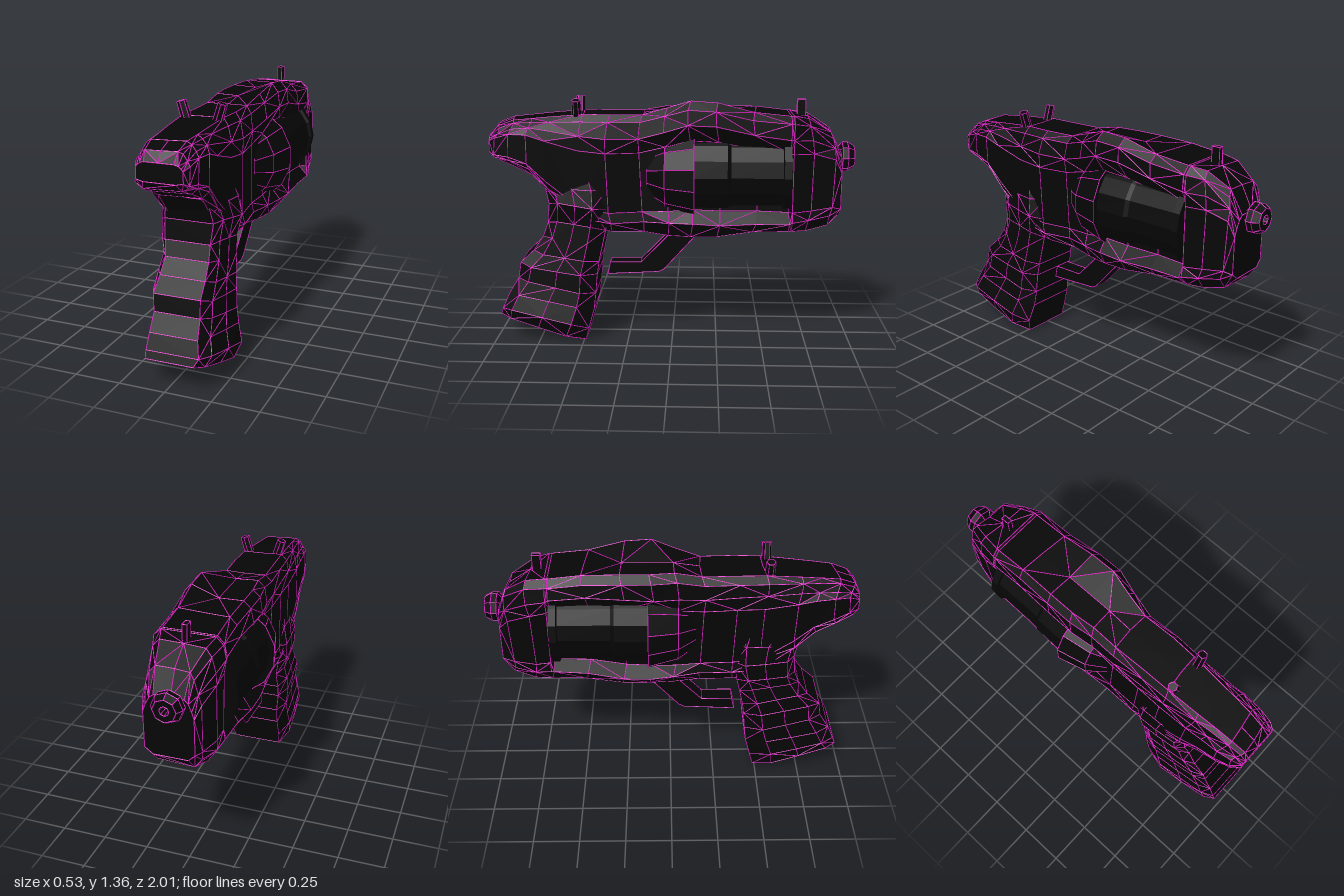
import * as THREE from 'three';
import { mergeGeometries } from 'three/addons/utils/BufferGeometryUtils.js';

const shell = new THREE.MeshStandardMaterial({ color: 0x060606, flatShading: true, side: THREE.DoubleSide });
const glow = new THREE.MeshStandardMaterial({ color: 0xe024c8, flatShading: true });

// Skin a list of closed rings and cap both ends; diagonals alternate for a chiselled look
function loft(rings) {
  const n = rings[0].length, pos = [], idx = [];
  rings.forEach(r => r.forEach(p => pos.push(p.x, p.y, p.z)));
  for (let i = 0; i < rings.length - 1; i++) {
    for (let j = 0; j < n; j++) {
      const k = (j + 1) % n, a = i * n + j, b = i * n + k, c = a + n, d = b + n;
      if ((i + j) % 2) idx.push(a, b, d, a, d, c);
      else idx.push(a, b, c, b, d, c);
    }
  }
  [0, rings.length - 1].forEach(i => {
    const centre = rings[i].reduce((s, p) => s.add(p), new THREE.Vector3()).divideScalar(n);
    const m = pos.length / 3;
    pos.push(centre.x, centre.y, centre.z);
    for (let j = 0; j < n; j++) {
      const a = i * n + j, b = i * n + (j + 1) % n;
      if (i === 0) idx.push(m, b, a);
      else idx.push(m, a, b);
    }
  });
  const g = new THREE.BufferGeometry();
  g.setAttribute('position', new THREE.Float32BufferAttribute(pos, 3));
  g.setIndex(idx);
  const flat = g.toNonIndexed();
  flat.computeVertexNormals();
  return flat;
}

// Thin coloured rods along the facet edges
function seams(geometry, angle) {
  const p = new THREE.EdgesGeometry(geometry, angle).attributes.position, rods = [];
  const up = new THREE.Vector3(0, 1, 0);
  for (let i = 0; i < p.count; i += 2) {
    const a = new THREE.Vector3().fromBufferAttribute(p, i);
    const b = new THREE.Vector3().fromBufferAttribute(p, i + 1);
    const dir = b.clone().sub(a), len = dir.length();
    if (len < 0.005) continue;
    const q = new THREE.Quaternion().setFromUnitVectors(up, dir.normalize());
    const rod = new THREE.CylinderGeometry(0.0025, 0.0025, len, 4, 1, true);
    rods.push(rod.applyQuaternion(q).translate((a.x + b.x) / 2, (a.y + b.y) / 2, (a.z + b.z) / 2));
  }
  return mergeGeometries(rods);
}

function part(name, geometry, seamAngle) {
  const g = new THREE.Group();
  g.name = name;
  const mesh = new THREE.Mesh(geometry, shell);
  mesh.name = name + 'Shell';
  g.add(mesh);
  if (seamAngle !== undefined) {
    const lines = new THREE.Mesh(seams(geometry, seamAngle), glow);
    lines.name = name + 'Seams';
    g.add(lines);
  }
  return g;
}

// Lathe along z from [radius, z] pairs, rear to front
function turned(points, sides, y) {
  const g = new THREE.LatheGeometry(points.map(([r, z]) => new THREE.Vector2(r, -z)), sides);
  return g.rotateX(-Math.PI / 2).translate(0, y, 0);
}

const wobble = (i, j) => Math.sin(i * 12.9 + j * 7.3);

function bodyGeometry() {
  // z, top, bottom, half width on -x, half width on +x, waist fraction, shoulder fraction
  const stations = [
    [-0.92, 1.07, 0.74, 0.115, 0.145, 1, 0.8], [-0.87, 1.19, 0.675, 0.13, 0.155, 1, 0.85],
    [-0.75, 1.265, 0.645, 0.165, 0.175, 0.97, 0.95], [-0.655, 1.28, 0.645, 0.175, 0.2, 0.95, 1],
    [-0.64, 1.28, 0.645, 0.175, 0.2, 0.76, 1], [-0.45, 1.3, 0.64, 0.175, 0.2, 0.74, 1],
    [-0.25, 1.35, 0.612, 0.18, 0.205, 0.73, 1], [-0.1, 1.36, 0.61, 0.18, 0.205, 0.75, 1],
    [0.03, 1.32, 0.612, 0.17, 0.18, 0.86, 0.95], [0.17, 1.28, 0.628, 0.165, 0.15, 0.95, 0.95],
    [0.35, 1.28, 0.63, 0.165, 0.17, 0.95, 0.9], [0.5, 1.28, 0.66, 0.165, 0.165, 0.97, 0.88],
    [0.68, 1.265, 0.83, 0.16, 0.16, 1, 0.82], [0.78, 1.255, 0.945, 0.155, 0.16, 1, 0.78],
    [0.88, 1.245, 0.995, 0.15, 0.15, 1, 0.76], [0.96, 1.215, 1.03, 0.135, 0.14, 1, 0.76],
    [1.0, 1.165, 1.07, 0.115, 0.125, 1, 0.85],
  ];
  return loft(stations.map(([z, top, bot, wl, wr, waist, shoulder], i) => {
    // right half of the section: width fraction, height fraction
    const half = [[0.7, 0], [1, 0.1], [waist, 0.19], [waist, 0.7],
      [(1 + shoulder) / 2, 0.82], [0.95 * shoulder, 0.94], [0.75 * shoulder, 1]];
    const section = [...half, [0, 1], ...half.slice().reverse().map(([u, v]) => [-u, v])];
    const end = i === 0 || i === stations.length - 1;
    return section.map(([u, v], j) => {
      const side = v > 0 && v < 0.9 && !end;
      // the hump leans: full height on +x, cut lower on the middle and -x
      const peak = u > 0 ? top : Math.min(top, u < 0 ? 1.305 : 1.3);
      return new THREE.Vector3(
        u * (u > 0 ? wr : wl) + (side ? 0.005 * wobble(i, j) : 0),
        bot + v * (peak - bot) + (side ? 0.012 * wobble(j, i) : 0),
        z + (end || (z < -0.6 && z > -0.7) ? 0 : 0.015 * wobble(i + 3, j)));
    });
  }));
}

function gripGeometry() {
  // front z, front y, back z, back y, half width on -x, half width on +x
  const stations = [
    [0.49, 0.005, 0.97, 0.15, 0.165, 0.205], [0.47, 0.08, 0.955, 0.19, 0.168, 0.237],
    [0.44, 0.19, 0.92, 0.27, 0.162, 0.21], [0.43, 0.28, 0.865, 0.36, 0.16, 0.195],
    [0.42, 0.39, 0.85, 0.45, 0.173, 0.19], [0.41, 0.46, 0.775, 0.52, 0.172, 0.18],
    [0.39, 0.55, 0.72, 0.6, 0.163, 0.175], [0.37, 0.64, 0.69, 0.68, 0.183, 0.17],
    [0.35, 0.76, 0.68, 0.79, 0.185, 0.19], [0.35, 0.88, 0.7, 0.88, 0.165, 0.17],
    [0.36, 0.97, 0.77, 0.94, 0.15, 0.15],
  ];
  // around the section: x fraction, fraction from front to back
  const half = [[0.7, 1], [0.88, 0.88], [0.96, 0.55], [1, 0.22], [0.78, 0]];
  const section = [...half, ...half.slice().reverse().map(([u, t]) => [-u, t])];
  return loft(stations.map(([fz, fy, bz, by, wl, wr], i) => section.map(([u, t], j) => {
    const side = t > 0 && t < 1 && i > 0 ? 1 : 0;
    return new THREE.Vector3(
      u * (u > 0 ? wr : wl) + side * 0.004 * wobble(i, j),
      fy + t * (by - fy) + side * 0.015 * wobble(j, i),
      fz + t * (bz - fz) + side * 0.015 * wobble(i + 5, j));
  })));
}

function triggerGeometry() {
  const outline = [[0.37, 0.36], [0.08, 0.375], [0.05, 0.39], [-0.13, 0.59],
    [-0.12, 0.62], [0, 0.615], [0.03, 0.585], [0.18, 0.43], [0.355, 0.43]];
  const shape = new THREE.Shape(outline.map(([z, y]) => new THREE.Vector2(-z, y)));
  const g = new THREE.ExtrudeGeometry(shape, { depth: 0.09, bevelEnabled: false });
  return g.translate(0, 0, -0.045).rotateY(Math.PI / 2);
}

export function createModel() {
  const model = new THREE.Group();
  model.name = 'pistol';

  model.add(part('body', bodyGeometry(), 1));
  model.add(part('grip', gripGeometry(), 1));
  model.add(part('trigger', triggerGeometry(), 30));

  // Drum with a stepped waist and a front flange
  model.add(part('drum', turned([[0, -0.1], [0.235, -0.1], [0.235, -0.3], [0.222, -0.32],
    [0.222, -0.6], [0.238, -0.605], [0.238, -0.645], [0, -0.645]], 16, 0.955)));

  // Flared shield behind the drum
  model.add(part('drumShield', turned([[0, 0.14], [0.15, 0.14], [0.225, 0.04],
    [0.267, -0.12], [0, -0.12]], 14, 0.945), 10));

  // Faceted muzzle with a recessed bore
  model.add(part('muzzle', turned([[0.06, -0.88], [0.05, -0.91], [0.08, -0.935],
    [0.08, -0.965], [0.06, -1], [0.025, -1], [0.02, -0.93], [0, -0.93]], 8, 1.04), 10));

  // Front post and two splayed rear posts
  const frontSight = part('frontSight', new THREE.BoxGeometry(0.025, 0.12, 0.045), 1);
  frontSight.position.set(0, 1.295, -0.705);
  model.add(frontSight);
  for (const s of [-1, 1]) {
    const post = part(s > 0 ? 'rearSightLeft' : 'rearSightRight',
      new THREE.CylinderGeometry(0.024, 0.026, 0.11, 6), 1);
    post.position.set(s * 0.095 + 0.008, 1.305, 0.52);
    post.rotation.z = -s * 0.3;
    model.add(post);
  }
  return model;
}
